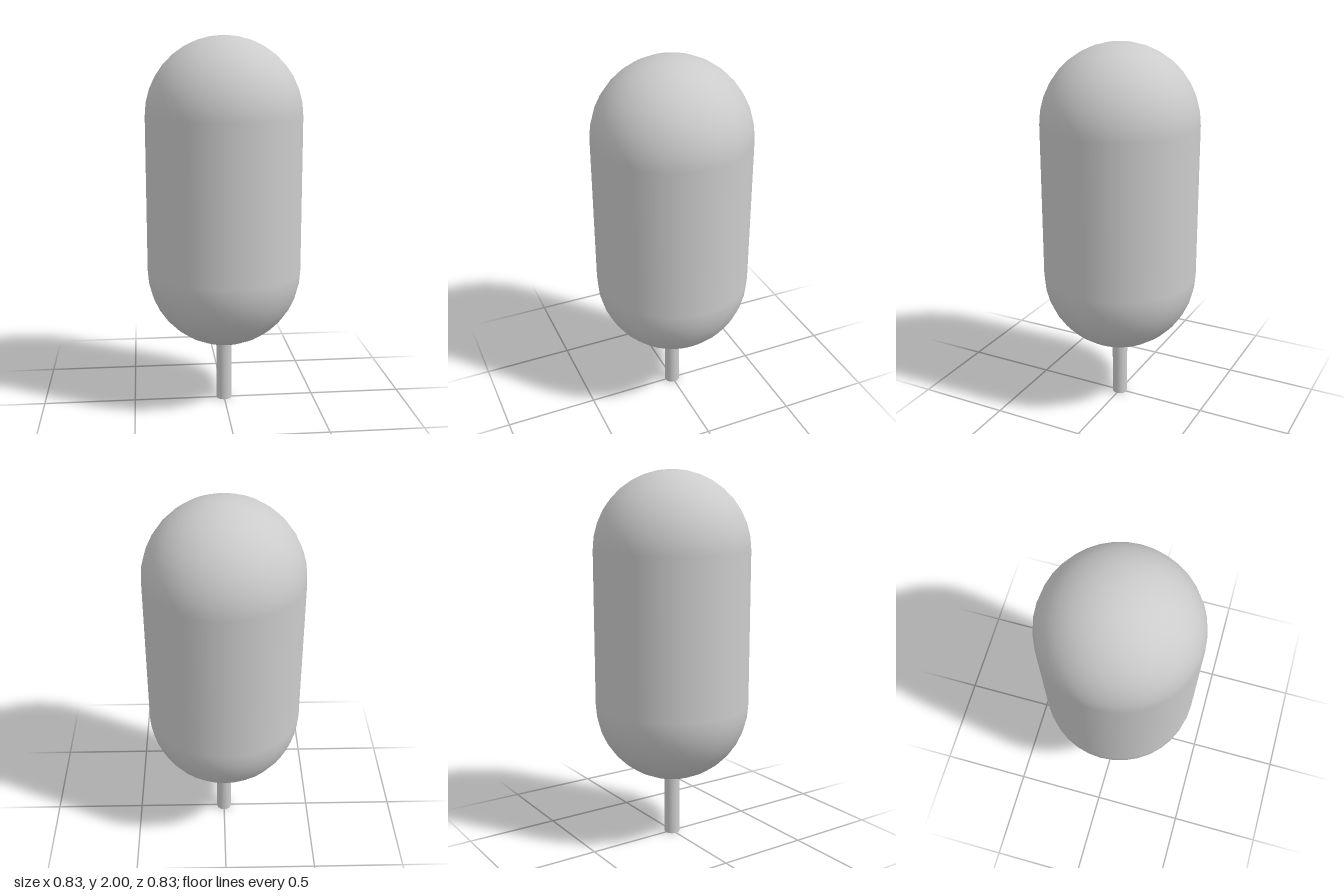
import * as THREE from 'three';

export function createModel() {
  const group = new THREE.Group();
  const material = new THREE.MeshStandardMaterial({ color: 0xcccccc });

  const radius = 2 / 4.8;      // rounded body radius
  const bodyBase = 0.8 * radius; // lowest point of the body
  const stickRadius = 0.1 * radius;
  const stickHeight = radius;  // the top of the stick sits inside the body

  // Body: straight middle with a hemisphere at each end
  const body = new THREE.Mesh(new THREE.CapsuleGeometry(radius, 2 * radius, 9, 36), material);
  body.name = 'body';
  body.position.y = bodyBase + 2 * radius;

  // Stick: thin round rod below the body
  const stick = new THREE.Mesh(
    new THREE.CylinderGeometry(stickRadius, stickRadius, stickHeight, 36), material);
  stick.name = 'stick';
  stick.position.y = stickHeight / 2;

  group.add(body, stick);
  return group;
}
